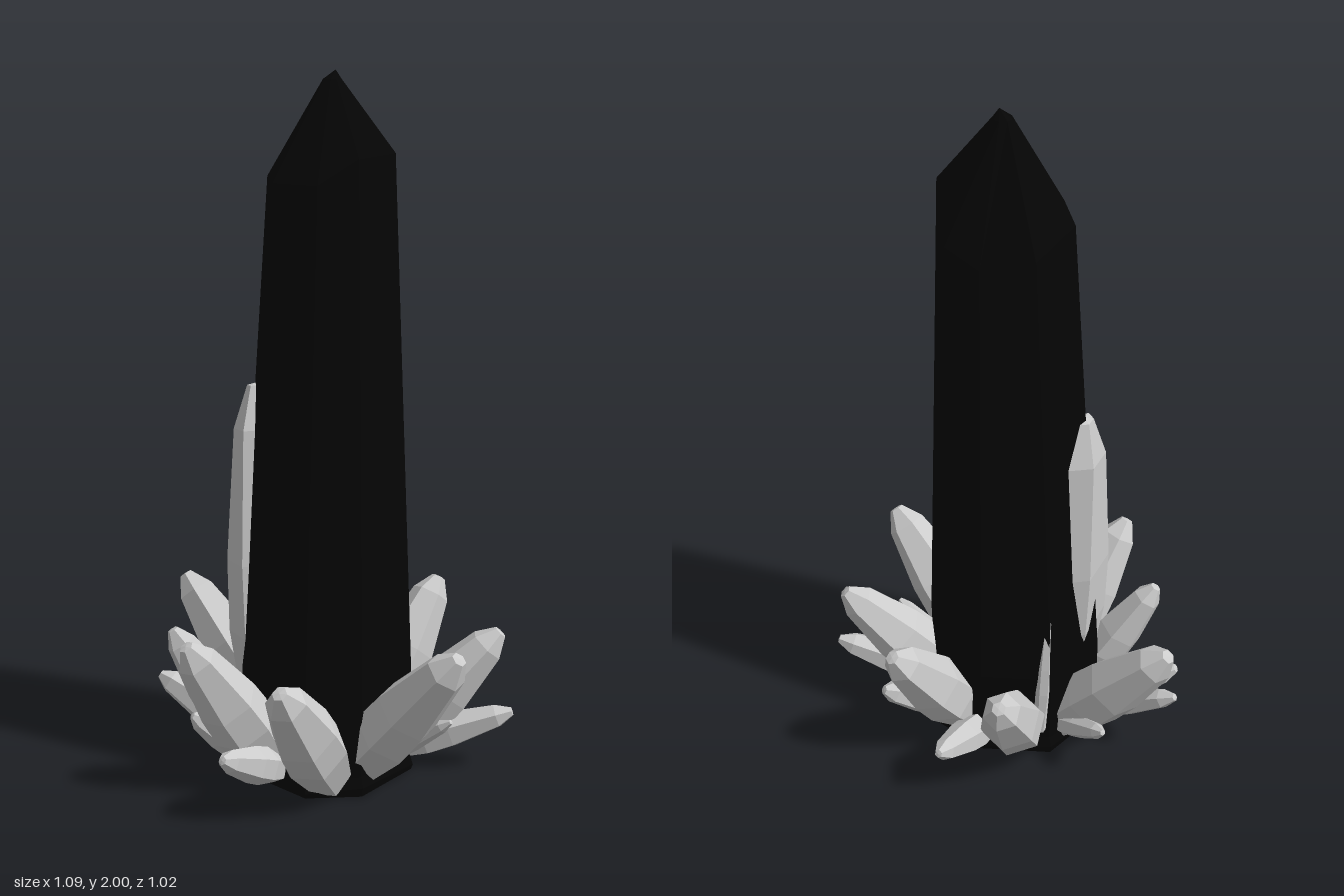
import * as THREE from 'three';

const grey = new THREE.MeshStandardMaterial({ color: 0xcccccc, flatShading: true });
const greyOpen = new THREE.MeshStandardMaterial({ color: 0xcccccc, flatShading: true, side: THREE.DoubleSide });
const black = new THREE.MeshStandardMaterial({ color: 0x050505, flatShading: true });

// Skin between rings of [x, y, z] points that run clockwise seen from above
function loft(rings) {
  const n = rings[0].length, index = [];
  for (let r = 0; r < rings.length - 1; r++) {
    for (let j = 0; j < n; j++) {
      const a = r * n + j, b = r * n + (j + 1) % n;
      index.push(b, a, a + n, b, a + n, b + n);
    }
  }
  const geometry = new THREE.BufferGeometry();
  geometry.setAttribute('position', new THREE.Float32BufferAttribute(rings.flat(2), 3));
  geometry.setIndex(index);
  geometry.computeVertexNormals();
  return geometry;
}

// Six-sided crystal from root to tip: stout body, long taper and a blunt point
const profile = [[0, 0], [0.7, 0], [1, 0.32], [0.95, 0.52], [0.6, 0.88], [0.22, 0.995], [0, 1]];
function crystal(name, root, tip, radius, spin = 0) {
  const from = new THREE.Vector3(...root);
  const axis = new THREE.Vector3(...tip).sub(from);
  const points = profile.map(([r, t]) => new THREE.Vector2(r * radius, t * axis.length()));
  const mesh = new THREE.Mesh(new THREE.LatheGeometry(points, 6, spin), grey);
  mesh.name = name;
  mesh.position.copy(from);
  mesh.quaternion.setFromUnitVectors(new THREE.Vector3(0, 1, 0), axis.normalize());
  return mesh;
}

export function createModel() {
  const model = new THREE.Group();
  model.name = 'crystalCluster';
  const add = (name, geometry, material) => {
    const mesh = new THREE.Mesh(geometry, material);
    mesh.name = name;
    model.add(mesh);
  };

  // Tapered eight-sided pillar with an uneven shoulder and a pointed top
  const outline = [[-0.005, -0.28], [0.16, -0.24], [0.286, -0.05], [0.24, 0.18],
    [0.105, 0.265], [-0.13, 0.2], [-0.265, 0.0], [-0.2, -0.205]];
  const shoulder = [1.63, 1.66, 1.78, 1.77, 1.7, 1.7, 1.71, 1.66];
  const ring = (scale, y, wave = 0) => outline.map(([x, z], i) => [x * scale, y + wave * (i % 2), z * scale]);
  add('pillar', loft([
    ring(0.98, 0.03),
    ring(0.99, 0.3),
    outline.map(([x, z], i) => [x * 0.69 + 0.015, shoulder[i], z * 0.69 - 0.022]),
    outline.map(([x, z]) => [x * 0.1 + 0.025, 1.975, z * 0.1 - 0.04]),
    outline.map(() => [0.035, 2, -0.045]),
  ]), black);

  // Dark skirt around the foot
  add('baseSkirt', loft([ring(1.0, 0.005), ring(1.02, 0.02, 0.012), ring(0.95, 0.075, 0.012)]), black);

  // Hollowed underside
  add('underside', loft([ring(0.97, 0.005), ring(0.82, 0.03, 0.012), ring(0.6, 0.055), ring(0.35, 0.035), ring(0, 0.055)]), greyOpen);

  // Broad side crystal and a thin shard, both mostly sunk in the pillar
  const side = crystal('tallSideCrystal', [-0.125, 0.05, 0.02], [-0.2, 1.12, -0.005], 0.112);
  side.scale.z = 1.3;
  model.add(side, crystal('thinShard', [-0.17, 0.1, -0.215], [-0.178, 0.56, -0.178], 0.025));

  // Ring of large crystals: root x, z, then tip x, y, z, radius
  const large = [[0.17, 0.09, 0.52, 0.46, 0.16, 0.1], [0.19, -0.07, 0.49, 0.41, -0.22, 0.092],
    [0.08, -0.18, 0.185, 0.46, -0.465, 0.095], [-0.1, -0.2, -0.16, 0.41, -0.475, 0.095],
    [-0.18, -0.09, -0.53, 0.46, -0.12, 0.1], [-0.17, 0.11, -0.365, 0.41, 0.21, 0.075],
    [-0.05, 0.18, -0.18, 0.46, 0.425, 0.095], [0.14, 0.19, 0.15, 0.41, 0.49, 0.098]];
  large.forEach(([rx, rz, x, y, z, r], i) =>
    model.add(crystal('largeCrystal', [rx, 0.05, rz], [x, y, z], r, i * 0.4)));

  // Small crystals low between them: tip x, y, z, radius
  const small = [[0.02, 0.185, -0.51, 0.055], [0.285, 0.2, -0.36, 0.06], [0.54, 0.18, -0.2, 0.06],
    [0.44, 0.21, 0.02, 0.032], [-0.025, 0.185, 0.495, 0.055], [-0.26, 0.185, 0.275, 0.05],
    [-0.485, 0.21, 0.1, 0.06], [-0.54, 0.25, -0.06, 0.05], [-0.385, 0.2, -0.24, 0.04], [-0.13, 0.21, 0.3, 0.03]];
  small.forEach(([x, y, z, r], i) => {
    const k = 0.2 / Math.hypot(x, z);
    model.add(crystal('smallCrystal', [x * k, 0.045, z * k], [x, y, z], r, i * 0.5));
  });

  return model;
}
